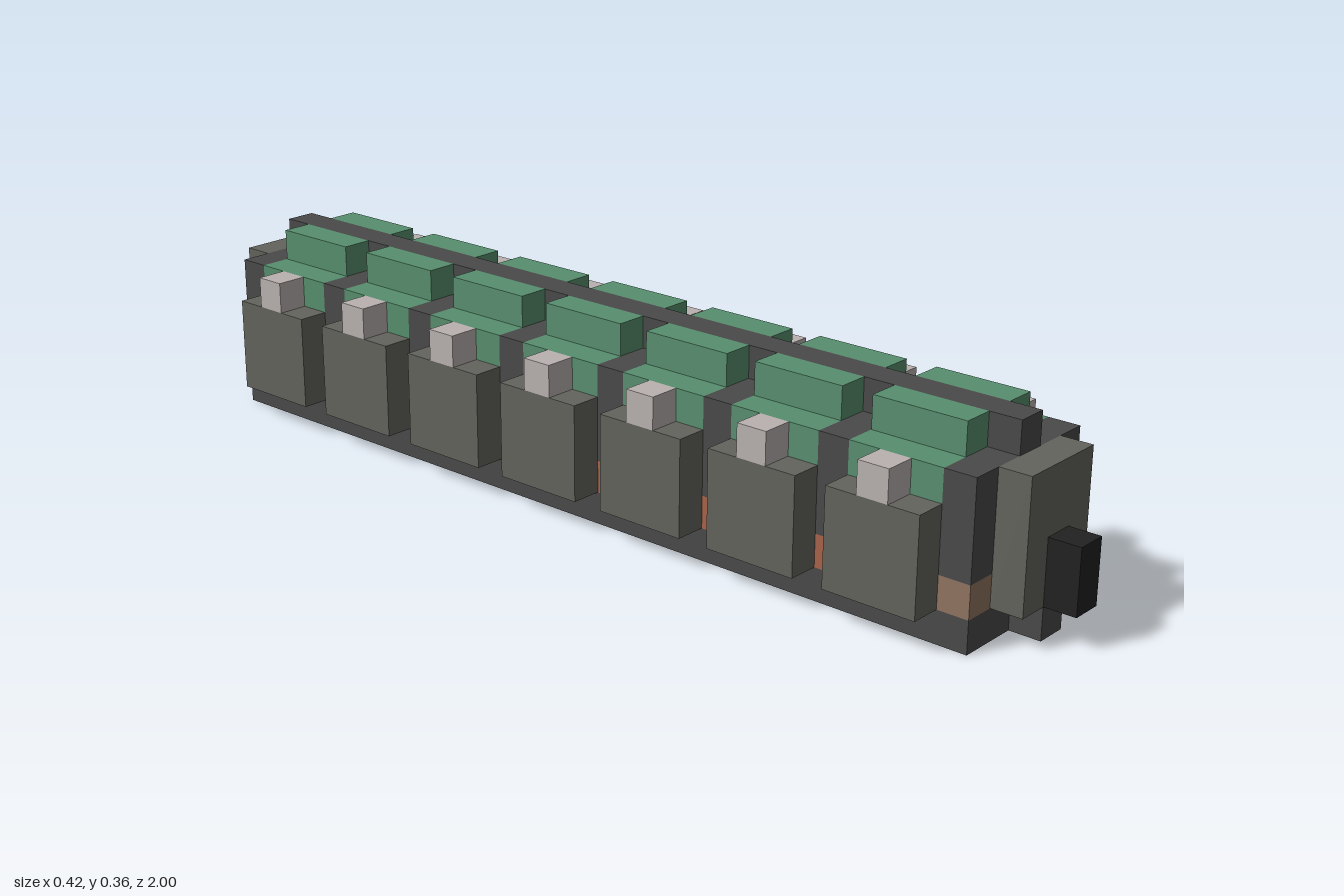
import * as THREE from 'three';

const U = 2 / 33; // one block

const mat = (name, color) => {
  const m = new THREE.MeshStandardMaterial({ color });
  m.name = name;
  return m;
};

export function createModel() {
  const dark = mat('dark grey', 0x4a4a4a);
  const grey = mat('olive grey', 0x63645d);
  const green = mat('green', 0x588f6f);
  const pale = mat('pale grey', 0xbab2b0);
  const orange = mat('rust orange', 0xa9654b);
  const brown = mat('faded brown', 0x917462);
  const black = mat('black', 0x222222);

  const model = new THREE.Group();
  model.name = 'railcar';

  // Box given by its limits in blocks
  const box = (name, material, x0, x1, y0, y1, z0, z1) => {
    const g = new THREE.BoxGeometry((x1 - x0) * U, (y1 - y0) * U, (z1 - z0) * U);
    const m = new THREE.Mesh(g, material);
    m.name = name;
    m.position.set((x0 + x1) / 2 * U, (y0 + y1) / 2 * U, (z0 + z1) / 2 * U);
    model.add(m);
  };
  // Same, mirrored to the side s (+1 or -1) in x
  const sideBox = (name, material, s, a, b, ...rest) =>
    box(name, material, Math.min(s * a, s * b), Math.max(s * a, s * b), ...rest);

  // Chassis, core and roof spine
  box('chassis', dark, -2.5, 2.5, 0, 1, -14.5, 14.5);
  box('core', dark, -1.5, 1.5, 1, 5, -14.5, 14.5);
  box('roofSpine', dark, -0.5, 0.5, 5, 6, -14.5, 14.5);

  // End plates, buffers and couplers
  for (const e of [1, -1]) {
    const span = (a, b) => (e > 0 ? [a, b] : [-b, -a]);
    box('endPlate', grey, -1.5, 1.5, 1, 5, ...span(14.5, 15.5));
    box('buffer', dark, -0.5, 0.5, 0, 1, ...span(14.5, 15.5));
    box('coupler', black, -0.5, 0.5, 1, 3, ...span(15.5, 16.5));
  }

  for (const s of [1, -1]) {
    // Side bays with stepped green roof blocks
    for (let z = -12; z <= 12; z += 4) {
      const bay = [z - 1.5, z + 1.5];
      sideBox('sidePod', grey, s, 1.5, 3.5, 1, 4, ...bay);
      sideBox('lowerRoofBlock', green, s, 1.5, 2.5, 4, 5, ...bay);
      sideBox('upperRoofBlock', green, s, 0.5, 1.5, 5, 6, ...bay);
      sideBox('podCap', pale, s, 2.5, 3.5, 4, 5, z - 0.5, z + 0.5);
    }
    // Ribs between the bays, each on a coloured foot
    for (let z = -14; z <= 14; z += 4) {
      const faded = (s > 0 && z === 2) || (s < 0 && z === 14);
      sideBox('ribFoot', faded ? brown : orange, s, 1.5, 2.5, 1, 2, z - 0.5, z + 0.5);
      sideBox('rib', dark, s, 1.5, 2.5, 2, 5, z - 0.5, z + 0.5);
    }
  }
  return model;
}
